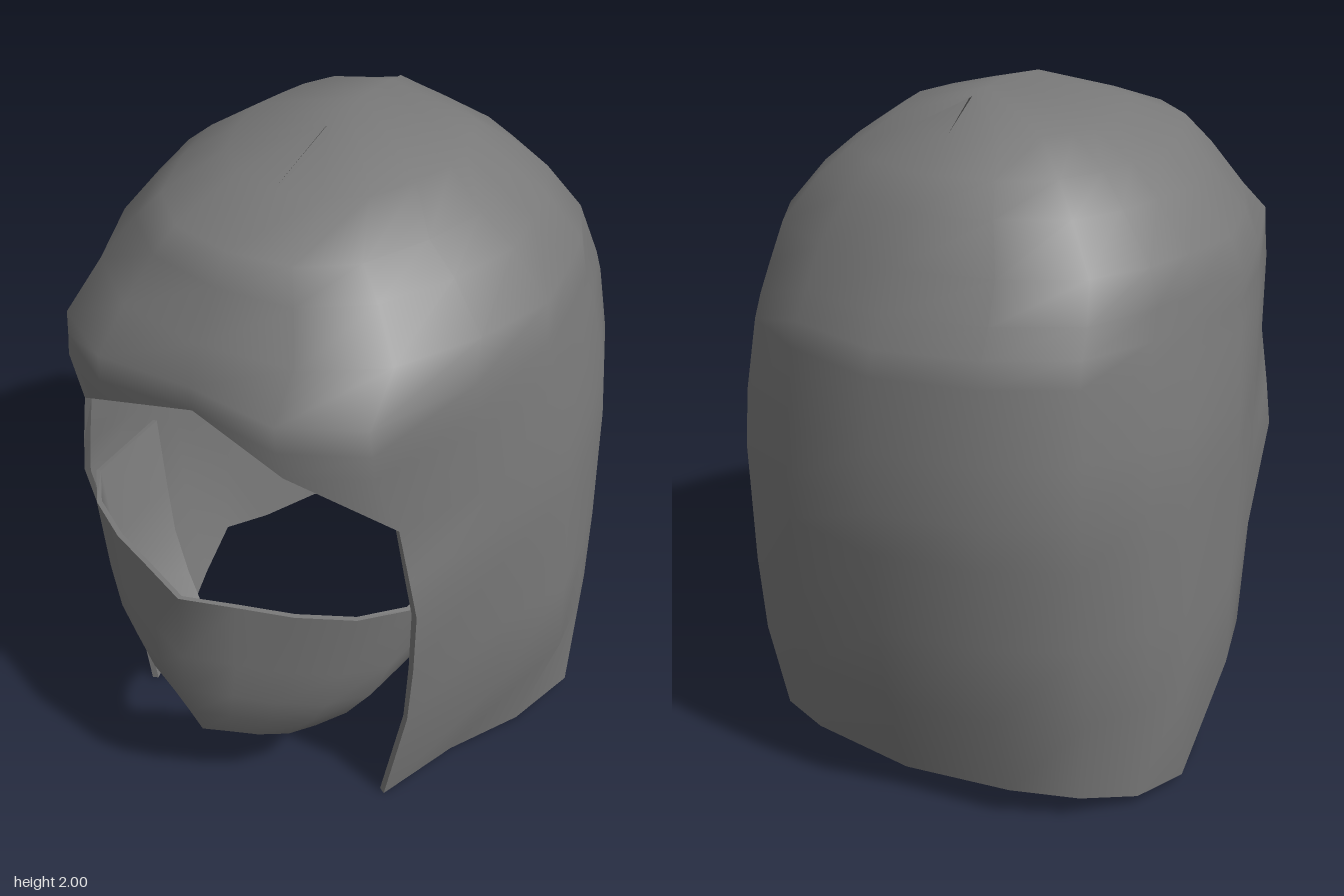
import * as THREE from 'three';
import { mergeVertices, mergeGeometries } from 'three/addons/utils/BufferGeometryUtils.js';

const material = new THREE.MeshStandardMaterial({ color: 0x797979, side: THREE.DoubleSide });

// Mirror a half section (starting on the centre line) into a full row of points.
const mirrorRow = (half) => [
  ...half.slice().reverse(),
  ...half.slice(1).map(([x, y, z]) => [-x, y, z]),
];

// Loft rows (bottom to top) into a smooth sheet, add an inset inner sheet and close the rims.
function shell(rows, thickness) {
  const n = rows[0].length;
  const faces = [];
  for (let i = 0; i < rows.length - 1; i++) {
    for (let j = 0; j < n - 1; j++) {
      const a = i * n + j, b = a + 1, c = b + n, d = a + n;
      faces.push(a, b, c, a, c, d);
    }
  }
  let outer = new THREE.BufferGeometry();
  outer.setAttribute('position', new THREE.Float32BufferAttribute(rows.flat(2), 3));
  outer.setIndex(faces);
  outer = mergeVertices(outer, 1e-4);

  // Drop collapsed triangles and track unpaired edges to find the open rims.
  const src = outer.index.array, kept = [], edges = new Map();
  for (let i = 0; i < src.length; i += 3) {
    const t = [src[i], src[i + 1], src[i + 2]];
    if (new Set(t).size < 3) continue;
    kept.push(...t);
    t.forEach((a, k) => {
      const b = t[(k + 1) % 3], back = `${b},${a}`;
      if (edges.has(back)) edges.delete(back);
      else edges.set(`${a},${b}`, [a, b]);
    });
  }
  outer.setIndex(kept);
  outer.computeVertexNormals();

  const inner = outer.clone();
  const p = outer.attributes.position, m = outer.attributes.normal, q = inner.attributes.position;
  for (let i = 0; i < p.count; i++) {
    q.setXYZ(i, p.getX(i) - m.getX(i) * thickness,
      Math.max(0, p.getY(i) - m.getY(i) * thickness), p.getZ(i) - m.getZ(i) * thickness);
  }
  inner.setIndex(kept.slice().reverse());
  inner.computeVertexNormals();

  const at = (attr, i) => [attr.getX(i), attr.getY(i), attr.getZ(i)];
  const rimPoints = [];
  for (const [a, b] of edges.values()) {
    const A = at(p, a), B = at(p, b), C = at(q, b), D = at(q, a);
    rimPoints.push(...A, ...D, ...C, ...A, ...C, ...B);
  }
  const rim = new THREE.BufferGeometry();
  rim.setAttribute('position', new THREE.Float32BufferAttribute(rimPoints, 3));
  rim.computeVertexNormals();
  return mergeGeometries([outer.toNonIndexed(), inner.toNonIndexed(), rim]);
}

function hoodGeometry() {
  // Half outline from centre back to centre front:
  // [share of half width, share of depth, share of depth on the crown].
  const outline = [[0, 0, 0], [0.42, 0.045, 0.045], [0.74, 0.13, 0.13], [0.88, 0.27, 0.25],
    [0.94, 0.37, 0.36], [1, 0.52, 0.5], [0.905, 0.7, 0.68], [0.73, 0.92, 0.86],
    [0.42, 1, 0.97], [0, 0.985, 1]];
  // Wavy lower hem, from centre back to the front corner
  const hem = [[0, 0.08, -0.67], [0.33, 0.095, -0.64], [0.51, 0.075, -0.55], [0.62, 0.03, -0.4],
    [0.69, 0.04, -0.25], [0.63, 0.005, -0.04], [0.53, 0.015, 0.2], [0.45, 0, 0.46],
    [0.45, 0, 0.46], [0.45, 0, 0.46]];
  // y, half width, back z, front z, and for open rows the edge column with its x and z
  const openRows = [
    [0.35, 0.74, -0.76, 0.55, 7, 0.52, 0.45],
    [0.6, 0.74, -0.8, 0.6, 7, 0.56, 0.49],
    [0.85, 0.738, -0.82, 0.64, 7, 0.59, 0.53],
    [0.98, 0.736, -0.83, 0.65, 7, 0.57, 0.54],
    [1.15, 0.73, -0.817, 0.67, 7, 0.54, 0.55],
    [1.36, 0.7, -0.8, 0.75, 8, 0.31, 0.75],
    [1.43, 0.69, -0.775, 0.75, 9, 0, 0.72],
    [1.51, 0.68, -0.73, 0.75, 10],
  ];
  const crownRows = [
    [1.62, 0.655, -0.67, 0.685],
    [1.75, 0.54, -0.59, 0.605],
    [1.83, 0.445, -0.51, 0.55],
    [1.91, 0.32, -0.39, 0.33],
  ];
  // The crown closes on a short ridge running front to back
  const ridge = outline.map(([, , t]) => [0, 1.985 + 0.06 * t * (1 - t), -0.28 + 0.38 * t]);
  const rows = [
    hem,
    ...openRows.map(([y, w, back, front, edge, ex, ez]) => outline.map(([u, t], j) =>
      j >= edge ? [ex, y, ez] : [u * w, y, back + (front - back) * t])),
    ...crownRows.map(([y, w, back, front]) => outline.map(([u, , t]) =>
      [u * w, y, back + (front - back) * t])),
    ridge,
  ];
  return shell(rows.map(mirrorRow), 0.02);
}

function maskGeometry() {
  // Half outline from centre front to the side end: [share of half width, share of depth].
  const outline = [[0, 1], [0.28, 0.9], [0.54, 0.81], [0.8, 0.67], [0.97, 0.48], [1, 0]];
  // y, half width, end z, front z
  const rows = [
    [0.28, 0.28, 0.38, 0.76], [0.39, 0.39, 0.33, 0.805], [0.5, 0.47, 0.29, 0.83],
    [0.63, 0.525, 0.25, 0.83], [0.85, 0.575, 0.22, 0.83],
  ];
  // Each row runs from the right end across the front to the left end.
  return shell(rows.map(([y, w, end, front]) => mirrorRow(
    outline.map(([u, t]) => [u * w, y, end + (front - end) * t])).reverse()), 0.015);
}

export function createModel() {
  const group = new THREE.Group();
  group.name = 'hoodWithFaceMask';
  for (const [name, geometry] of [['hood', hoodGeometry()], ['faceMask', maskGeometry()]]) {
    const mesh = new THREE.Mesh(geometry, material);
    mesh.name = name;
    group.add(mesh);
  }
  return group;
}
